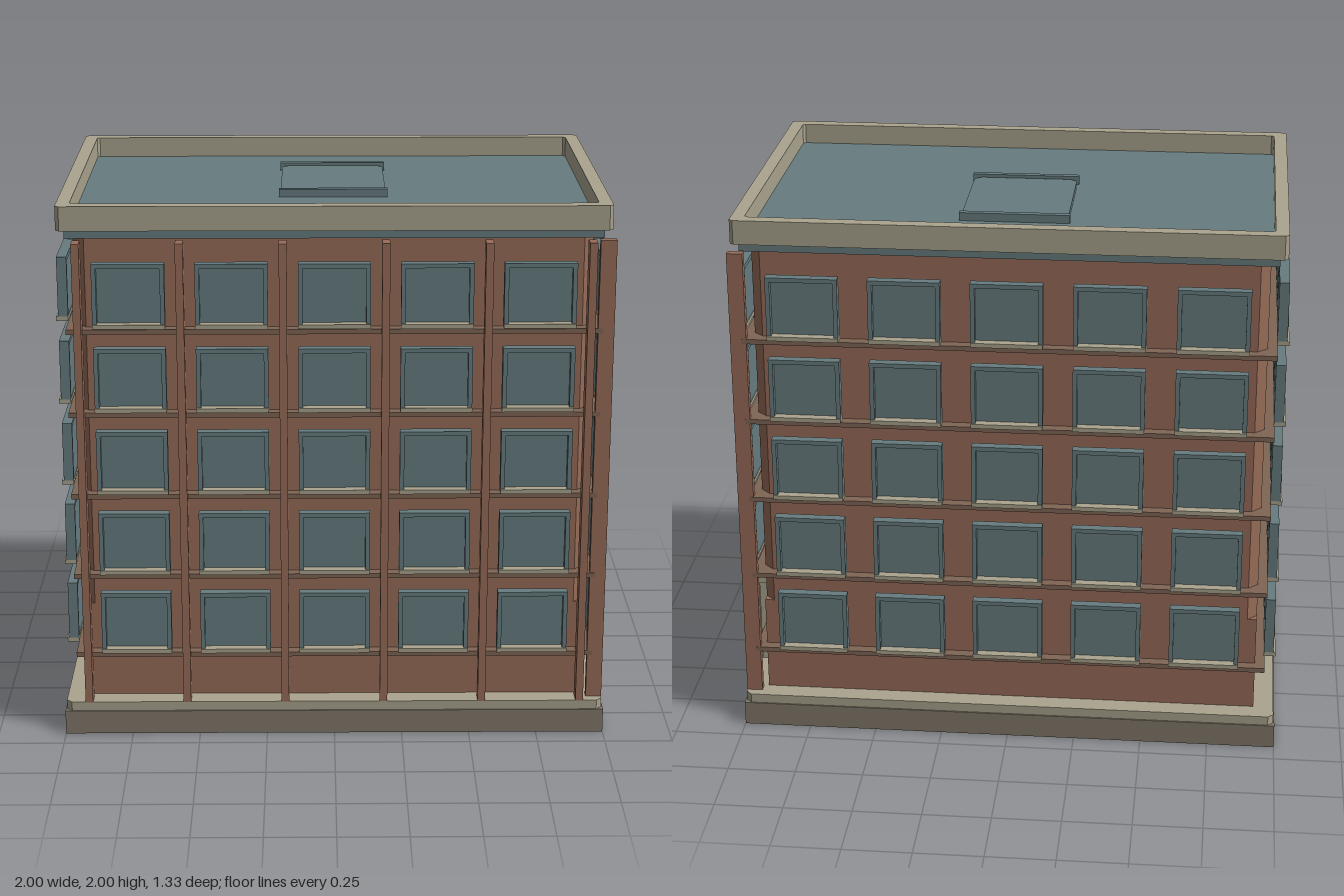
import * as THREE from 'three';

const mat = (name, color) => {
  const m = new THREE.MeshStandardMaterial({ color });
  m.name = name;
  return m;
};

export function createModel() {
  const brick = mat('brick', 0x986c58);
  const stone = mat('pale stone', 0xaaa48e);
  const plinthStone = mat('dark stone', 0x83796a);
  const slate = mat('slate blue', 0x677d80);
  const bandStone = mat('band brown', 0x806656);
  const model = new THREE.Group();
  model.name = 'building';

  // Box given by its minimum and maximum on each axis
  const box = (parent, name, material, x0, x1, y0, y1, z0, z1) => {
    const mesh = new THREE.Mesh(new THREE.BoxGeometry(x1 - x0, y1 - y0, z1 - z0), material);
    mesh.position.set((x0 + x1) / 2, (y0 + y1) / 2, (z0 + z1) / 2);
    mesh.name = name;
    parent.add(mesh);
    return mesh;
  };

  // Rectangle with cut corners, raised from y0 to y1
  const outline = (w, d, c) => new THREE.Shape([
    [w, c - d], [w, d - c], [w - c, d], [c - w, d],
    [-w, d - c], [-w, c - d], [c - w, -d], [w - c, -d],
  ].map(([x, y]) => new THREE.Vector2(x, y)));
  const slab = (name, material, shape, y0, y1) => {
    const g = new THREE.ExtrudeGeometry(shape, { depth: y1 - y0, bevelEnabled: false });
    g.rotateX(-Math.PI / 2);
    const mesh = new THREE.Mesh(g, material);
    mesh.position.y = y0;
    mesh.name = name;
    model.add(mesh);
    return mesh;
  };

  // Base
  box(model, 'plinth', plinthStone, -1, 1, 0, 0.09, -0.665, 0.665);
  slab('plinthLedge', stone, outline(0.995, 0.66, 0.02), 0.09, 0.125);

  // Walls, with cut corners above the ground floor
  box(model, 'lowerWalls', brick, -0.92, 0.92, 0.12, 0.49, -0.585, 0.585);
  slab('upperWalls', brick, outline(0.92, 0.585, 0.035), 0.49, 1.89);

  // Floor bands
  for (let i = 0; i < 5; i++) {
    const y = 0.3 + i * 0.31;
    if (i === 0) {
      // The lowest band stops at the doorway
      box(model, 'floorBand', bandStone, -0.955, 0.92, y - 0.009, y + 0.009, -0.625, 0.625);
      box(model, 'floorBandEnd', bandStone, 0.92, 0.955, y - 0.009, y + 0.009, 0.19, 0.625);
      box(model, 'floorBandEnd', bandStone, 0.92, 0.955, y - 0.009, y + 0.009, -0.625, -0.365);
    } else {
      box(model, 'floorBand', bandStone, -0.955, 0.955, y - 0.009, y + 0.009, -0.625, 0.625);
    }
  }

  // Window facing +z, with its sill at the origin
  const addWindow = (parent, x, y, z, w) => {
    const g = new THREE.Group();
    g.name = 'window';
    g.position.set(x, y, z);
    const h = 0.235, t = 0.016, r = w / 2;
    box(g, 'glass', slate, -r + t, r - t, t, h - t, 0.002, 0.01);
    for (const s of [-1, 1]) {
      const c = s * (r - t / 2);
      box(g, 'jamb', slate, c - t / 2, c + t / 2, t, h, 0, 0.036);
    }
    box(g, 'head', slate, -r + t, r - t, h - t, h, 0, 0.036);
    box(g, 'sill', stone, -r, r, 0, t, 0, 0.043);
    parent.add(g);
  };

  // Four facades, each built facing +z and turned into place
  const facades = [
    { name: 'frontFacade', turn: 0, wall: 0.585, cols: 5, pitch: 0.364, w: 0.257, piers: true },
    { name: 'rightFacade', turn: 1, wall: 0.918, cols: 3, pitch: 0.407, w: 0.277, piers: true, door: true },
    { name: 'backFacade', turn: 2, wall: 0.585, cols: 5, pitch: 0.364, w: 0.257 },
    { name: 'leftFacade', turn: 3, wall: 0.918, cols: 3, pitch: 0.407, w: 0.277 },
  ];
  for (const f of facades) {
    const g = new THREE.Group();
    g.name = f.name;
    g.rotation.y = f.turn * Math.PI / 2;
    for (let c = 0; c < f.cols; c++) {
      for (let i = 0; i < 5; i++) {
        if (f.door && i === 0 && c > 0) continue;
        addWindow(g, (c - (f.cols - 1) / 2) * f.pitch, 0.32 + i * 0.31, f.wall + 0.034, f.w);
      }
    }
    if (f.piers) {
      for (let c = 0; c <= f.cols; c++) {
        const x = (c - f.cols / 2) * f.pitch;
        box(g, 'pilaster', brick, x - 0.014, x + 0.014, 0.125, 1.87, f.wall + 0.02, f.wall + 0.078);
      }
    }
    model.add(g);
  }

  // Entrance on the right wall
  const entrance = new THREE.Group();
  entrance.name = 'entrance';
  model.add(entrance);
  box(entrance, 'doorGlass', slate, 0.921, 0.929, 0.125, 0.465, -0.32, 0.14);
  box(entrance, 'doorMullion', slate, 0.925, 0.94, 0.125, 0.465, -0.097, -0.085);
  box(entrance, 'doorColumn', stone, 0.915, 0.985, 0.125, 0.47, 0.135, 0.19);
  box(entrance, 'doorColumn', stone, 0.915, 0.985, 0.125, 0.47, -0.368, -0.315);
  box(entrance, 'doorLintel', stone, 0.915, 1, 0.47, 0.505, -0.41, 0.22);
  box(entrance, 'doorCanopy', slate, 0.915, 0.985, 0.505, 0.535, -0.385, 0.19);
  box(entrance, 'doorStep', stone, 0.994, 1.001, 0, 0.05, -0.37, 0.19);

  // Frieze, parapet and roof
  box(model, 'frieze', slate, -0.95, 0.95, 1.88, 1.925, -0.622, 0.622);
  const rim = outline(0.978, 0.646, 0.014);
  rim.holes.push(outline(0.93, 0.598, 0.01));
  slab('parapet', stone, rim, 1.912, 2);

  // Roof hatch with rounded corners and two rails
  const hx = 0.193, hz = 0.222, r = 0.035;
  const hatch = new THREE.Shape();
  hatch.absarc(hx - r, hz - r, r, 0, Math.PI / 2);
  hatch.absarc(r - hx, hz - r, r, Math.PI / 2, Math.PI);
  hatch.absarc(r - hx, r - hz, r, Math.PI, Math.PI * 1.5);
  hatch.absarc(hx - r, r - hz, r, Math.PI * 1.5, Math.PI * 2);
  slab('roofHatch', slate, hatch, 1.92, 1.945).position.z = -0.093;
  for (const z of [-0.332, 0.147]) {
    box(model, 'hatchRail', slate, -0.2, 0.2, 1.92, 1.955, z - 0.012, z + 0.012);
  }
  return model;
}
